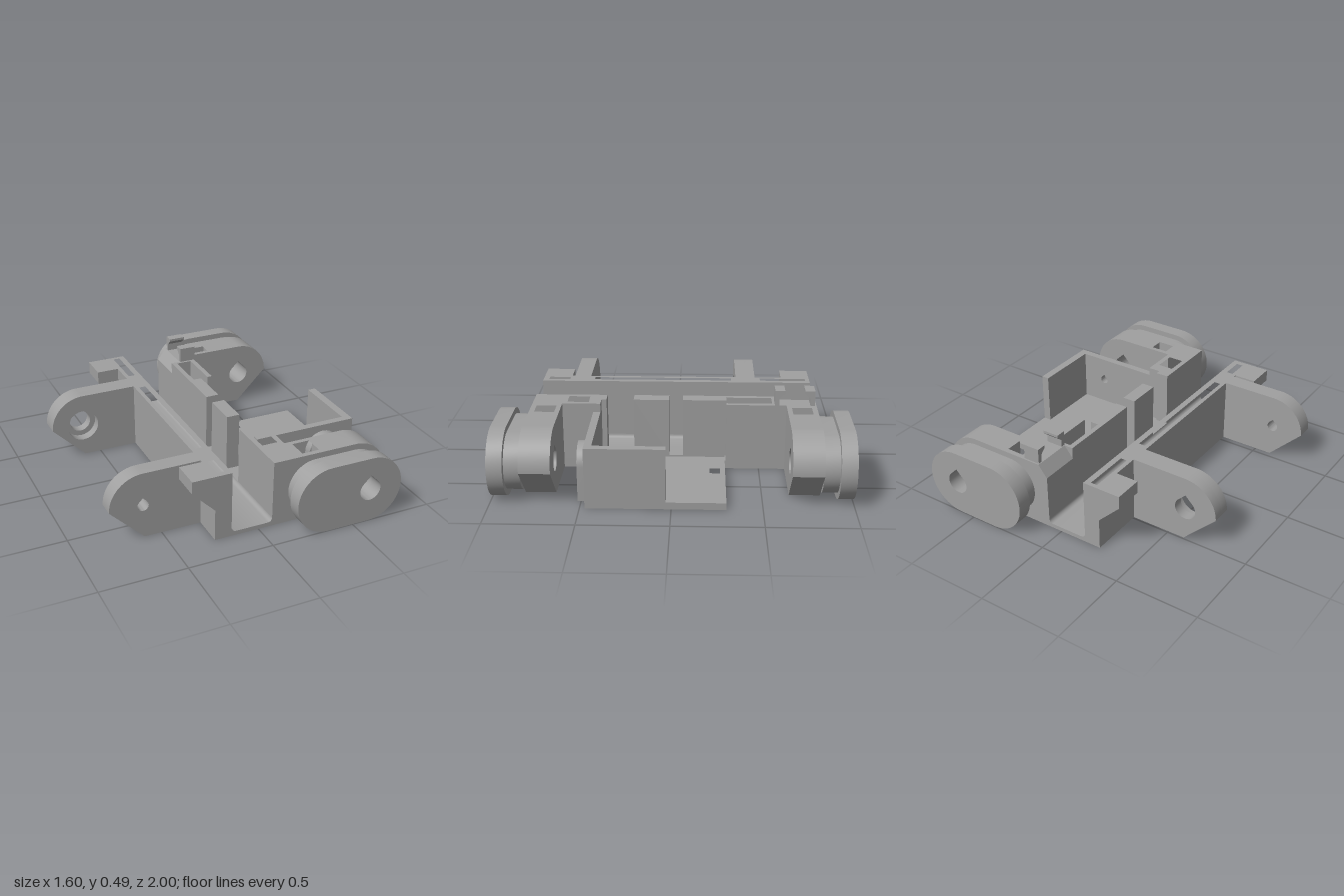
import * as THREE from 'three';
import { toCreasedNormals } from 'three/addons/utils/BufferGeometryUtils.js';

const plastic = new THREE.MeshStandardMaterial({ color: 0xa0a0a0 });
plastic.name = 'grey plastic';

const V = (x, y) => new THREE.Vector2(x, y);
const rect = (x0, x1, y0, y1) => [V(x0, y0), V(x1, y0), V(x1, y1), V(x0, y1)];

// Points along an arc, angles in degrees
function arc(cx, cy, r, from, to, n = 24) {
  return Array.from({ length: n + 1 }, (_, i) => {
    const a = THREE.MathUtils.degToRad(from + (to - from) * i / n);
    return V(cx + r * Math.cos(a), cy + r * Math.sin(a));
  });
}

// Round hole with a 45 degree peak on top
const teardrop = (x, y, r) => [...arc(x, y, r, 135, 405, 32), V(x, y + r * Math.SQRT2)];

function solid(points, holes, depth) {
  const shape = new THREE.Shape(points);
  shape.holes = holes.map(h => new THREE.Path(h));
  return new THREE.ExtrudeGeometry(shape, { depth, bevelEnabled: false });
}

export function createModel() {
  const model = new THREE.Group();
  model.name = 'bracket';

  function add(name, geo) {
    const mesh = new THREE.Mesh(toCreasedNormals(geo, 0.45), plastic);
    mesh.name = name;
    model.add(mesh);
  }
  // Front profile (x, y) extruded from z0 to z1
  const side = (name, points, z0, z1, holes = []) =>
    add(name, solid(points, holes, z1 - z0).translate(0, 0, z0));
  // Plan outline (x, z) extruded from y0 to y1
  const flip = pts => pts.map(p => V(p.x, -p.y));
  const plan = (name, points, y0, y1, holes = []) =>
    add(name, solid(flip(points), holes.map(flip), y1 - y0).rotateX(-Math.PI / 2).translate(0, y0, 0));

  const END = 0.825, IN = 0.652, TOP = 0.4, BASE = 0.05;

  // Channel floor with small fillets
  side('channelFloor', [
    V(-0.265, 0), V(0.165, 0), V(0.165, BASE),
    ...arc(0.06, 0.05, 0.025, 0, -90, 6),
    ...arc(-0.14, 0.05, 0.025, -90, -180, 6),
    V(-0.265, BASE)], -END, END);

  // Slotted wall on the hinge side
  plan('slottedWall', rect(-0.265, -0.165, -END, END), BASE, TOP, [
    rect(-0.24, -0.2, -0.8, -0.52),
    rect(-0.24, -0.2, -0.34, 0.505),
    rect(-0.24, -0.2, 0.66, 0.79)]);

  // Pocketed wall on the tray side, in separate blocks
  plan('wallBaseBack', rect(0.165, 0.24, -END, -0.3), 0, BASE);
  plan('wallBaseFront', rect(0.165, 0.24, 0.43, END), 0, BASE);
  plan('wallBack', [
    V(0.085, -0.59), V(0.24, -0.59), V(0.24, -0.305), V(0.21, -0.305), V(0.21, -0.57),
    V(0.115, -0.57), V(0.115, -0.305), V(0.165, -0.305), V(0.165, -0.05), V(0.085, -0.05)], BASE, TOP);
  plan('wallPost', rect(0.085, 0.165, 0.03, 0.24), BASE, TOP);
  plan('wallFront', [
    V(0.085, 0.4), V(0.165, 0.4), V(0.165, 0.43), V(0.24, 0.43), V(0.24, END), V(0.085, END)],
  BASE, TOP, [rect(0.115, 0.21, 0.5, 0.625)]);
  side('clipBlock', [V(0.085, BASE), V(0.24, BASE), V(0.24, TOP), V(0.14, TOP), V(0.085, 0.33)], -END, -0.59);

  // Pair of hooks facing each other
  for (const s of [-1, 1]) {
    const hook = [V(0.115, 0.4), V(0.09, 0.4), V(0.09, 0.49), V(0.147, 0.49), V(0.147, 0.475), V(0.115, 0.445)];
    const profile = hook.map(p => V(s * (0.205 - p.x), p.y));
    // Turn the (z, y) profile so that its depth runs along x
    const geo = solid(profile.map(p => V(-p.x, p.y)), [], 0.1);
    geo.rotateY(Math.PI / 2).translate(0.145, 0, -0.7);
    add('clipHook', geo);
  }

  // Hinge lugs, round above and cut at 45 degrees below
  const lug = [V(-0.265, 0), V(-0.265, TOP), ...arc(-0.6, 0.2, 0.2, 90, 180), V(-0.6, 0)];
  side('frontLug', lug, 0.535, 0.635, [teardrop(-0.605, 0.2, 0.033)]);
  side('backLugOuter', lug, -0.49, -0.43, [teardrop(-0.605, 0.2, 0.065)]);
  side('backLugInner', lug, -0.43, -0.37, [arc(-0.605, 0.2, 0.098, 0, 345, 23)]);

  // Parts repeated at both ends
  const pill = r => [...arc(0.6, 0.2, r, -90, 90), ...arc(0.345, 0.2, r, 90, 270)];
  const bore = [teardrop(0.6, 0.2, 0.065)];
  const armTip = [V(0.42, 0), V(0.6, 0), ...arc(0.6, 0.2, 0.2, 0, 90), V(0.42, TOP)];
  const stub = [V(-0.265, 0.19), V(-0.265, TOP), V(-0.4, TOP), V(-0.4, 0.325)];
  for (const s of [-1, 1]) {
    const span = (a, b) => s > 0 ? [a, b] : [-b, -a];
    side('cornerStub', stub, ...span(IN, END));
    plan('armBase', rect(0.24, 0.42, ...span(IN, END)), 0, BASE);
    plan('armRoot', rect(0.24, 0.42, ...span(IN, END)), BASE, TOP, [rect(0.275, 0.38, ...span(0.68, 0.795))]);
    side('armTip', armTip, ...span(IN, END), bore);
    side('pulleyNeck', pill(0.165), ...span(END, 0.912), bore);
    side('pulleyFlange', pill(0.2), ...span(0.912, 1), bore);
  }

  // Open tray with two walls and a bearing boss
  plan('trayFloor', rect(0.165, 0.8, -0.3, 0.43), 0, 0.04, [rect(0.335, 0.405, -0.27, -0.21)]);
  side('trayFrontWall', rect(0.165, 0.8, 0, 0.35), 0.43, 0.472, [teardrop(0.6, 0.2, 0.026)]);
  plan('traySideWall', rect(0.753, 0.8, 0.03, 0.43), 0.04, 0.35);
  side('trayBoss', [V(0.488, 0), V(0.71, 0), ...arc(0.599, 0.2, 0.111, 0, 180)], 0.472, 0.52,
    [arc(0.6, 0.2, 0.065, 0, 345, 23)]);

  return model;
}
